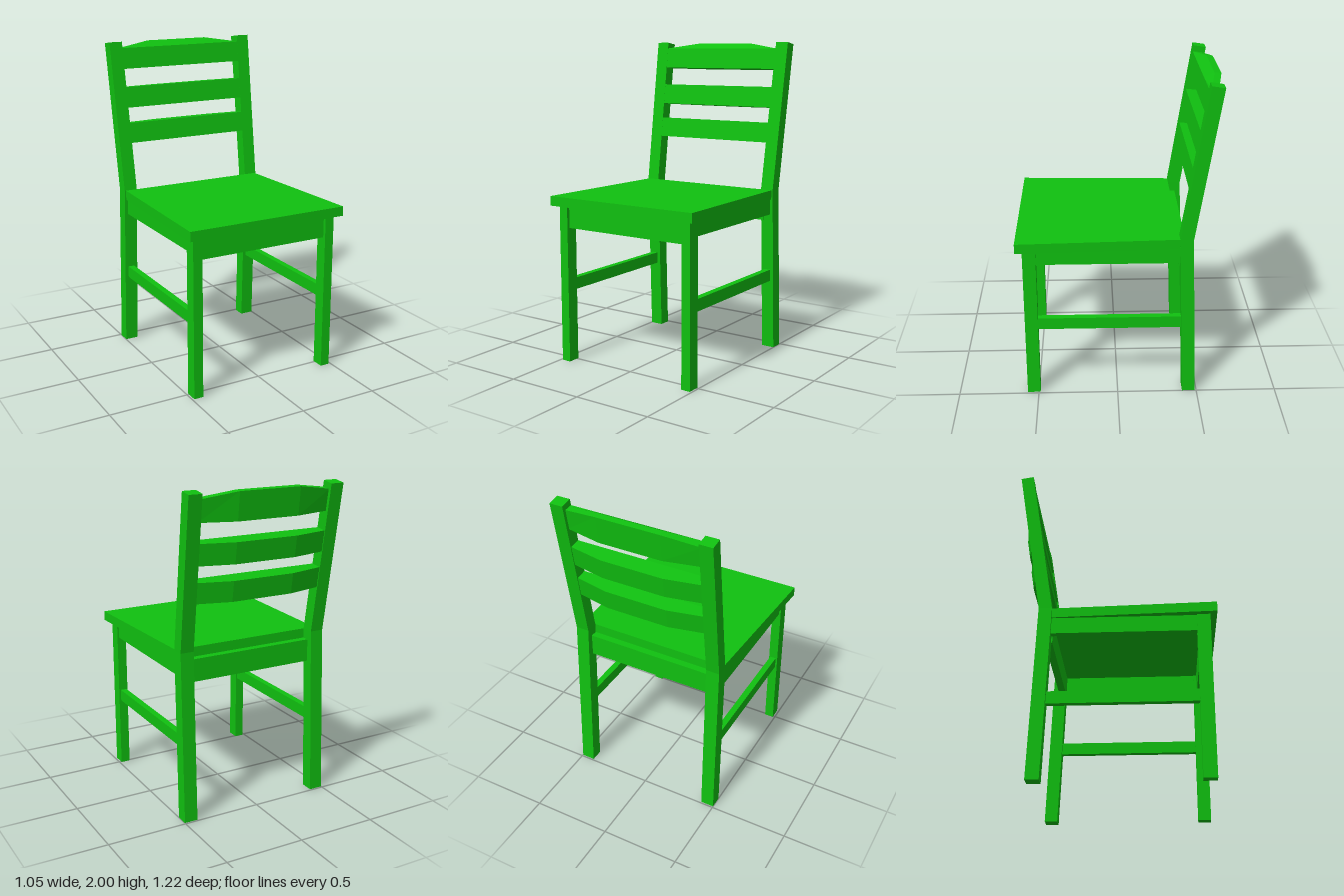
import * as THREE from 'three';

const material = new THREE.MeshStandardMaterial({ color: 0x10c010, flatShading: true });

// z of the front plane of the leaning back posts at height y
const postFront = (y) => -0.37 - 0.155 * (y - 1.06);

export function createModel() {
  const chair = new THREE.Group();
  chair.name = 'chair';

  const add = (name, geometry) => {
    const mesh = new THREE.Mesh(geometry, material);
    mesh.name = name;
    chair.add(mesh);
    return mesh;
  };

  // Axis-aligned board given by its limits
  const board = (name, x0, x1, y0, y1, z0, z1) => {
    const mesh = add(name, new THREE.BoxGeometry(x1 - x0, y1 - y0, z1 - z0));
    mesh.position.set((x0 + x1) / 2, (y0 + y1) / 2, (z0 + z1) / 2);
  };

  // Move every vertex of a geometry by a rule
  const reshape = (geometry, rule) => {
    const p = geometry.attributes.position;
    const v = new THREE.Vector3();
    for (let i = 0; i < p.count; i++) {
      rule(v.fromBufferAttribute(p, i));
      p.setXYZ(i, v.x, v.y, v.z);
    }
    geometry.computeVertexNormals();
    return geometry;
  };

  // Seat, narrower towards the back
  const seat = add('seat', reshape(new THREE.BoxGeometry(1, 0.06, 0.98), (v) => {
    v.x *= v.z > 0 ? 1.05 : 0.972;
  }));
  seat.position.set(0, 1.03, 0.12);

  // Side profile of the back post as [z, y]
  const profile = [[-0.41, 0], [-0.37, 1.06], [-0.515, 2], [-0.592, 1.988], [-0.45, 1.06], [-0.49, 0]];
  const postShape = new THREE.Shape(profile.map(([z, y]) => new THREE.Vector2(-z, y)));

  for (const [side, label] of [[1, 'left'], [-1, 'right']]) {
    const span = (a, b) => (side > 0 ? [a, b] : [-b, -a]);

    // Back post, splayed slightly outwards above the seat
    const post = new THREE.ExtrudeGeometry(postShape, { depth: 0.085, bevelEnabled: false });
    post.rotateY(Math.PI / 2);
    post.translate(side > 0 ? 0.41 : -0.495, 0, 0);
    add(`${label}BackPost`, reshape(post, (v) => {
      v.x += side * (v.y > 1.06 ? (0.013 * (v.y - 1.06)) / 0.94 : 0.004 * (1 - v.y / 1.06));
    }));

    board(`${label}FrontLeg`, ...span(0.427, 0.487), 0, 1, 0.49, 0.57);
    board(`${label}SideApron`, ...span(0.435, 0.475), 0.9, 1, -0.39, 0.5);
    board(`${label}Stretcher`, ...span(0.435, 0.475), 0.455, 0.53, -0.41, 0.5);
  }

  // Front and back aprons under the seat
  board('frontApron', -0.43, 0.43, 0.86, 1, 0.51, 0.55);
  board('backApron', -0.43, 0.43, 0.86, 1, -0.415, -0.37);

  // Slat with a flat front and a bowed back; arch raises the middle of its top
  const slat = (name, y0, y1, ends, middle, arch) => {
    add(name, reshape(new THREE.BoxGeometry(1, 1, 1, 3, 1, 2), (v) => {
      const inner = Math.abs(v.x) < 0.3;
      const full = inner ? middle : ends;
      const depth = v.z > 0.2 ? 0 : v.z > -0.2 ? full - 0.04 : full;
      const rise = v.y > 0 && depth > 0 && inner ? arch : 0;
      const height = v.y > 0 ? y1 : y0;
      v.x = Math.sign(v.x) * (inner ? 0.2 : 0.43);
      v.y = height + rise - 0.11 * depth;
      v.z = postFront(height) - depth;
    }));
  };
  slat('lowerSlat', 1.36, 1.487, 0.07, 0.113, 0);
  slat('middleSlat', 1.585, 1.715, 0.07, 0.11, 0);
  slat('crestRail', 1.83, 1.96, 0.055, 0.098, 0.04);

  return chair;
}
